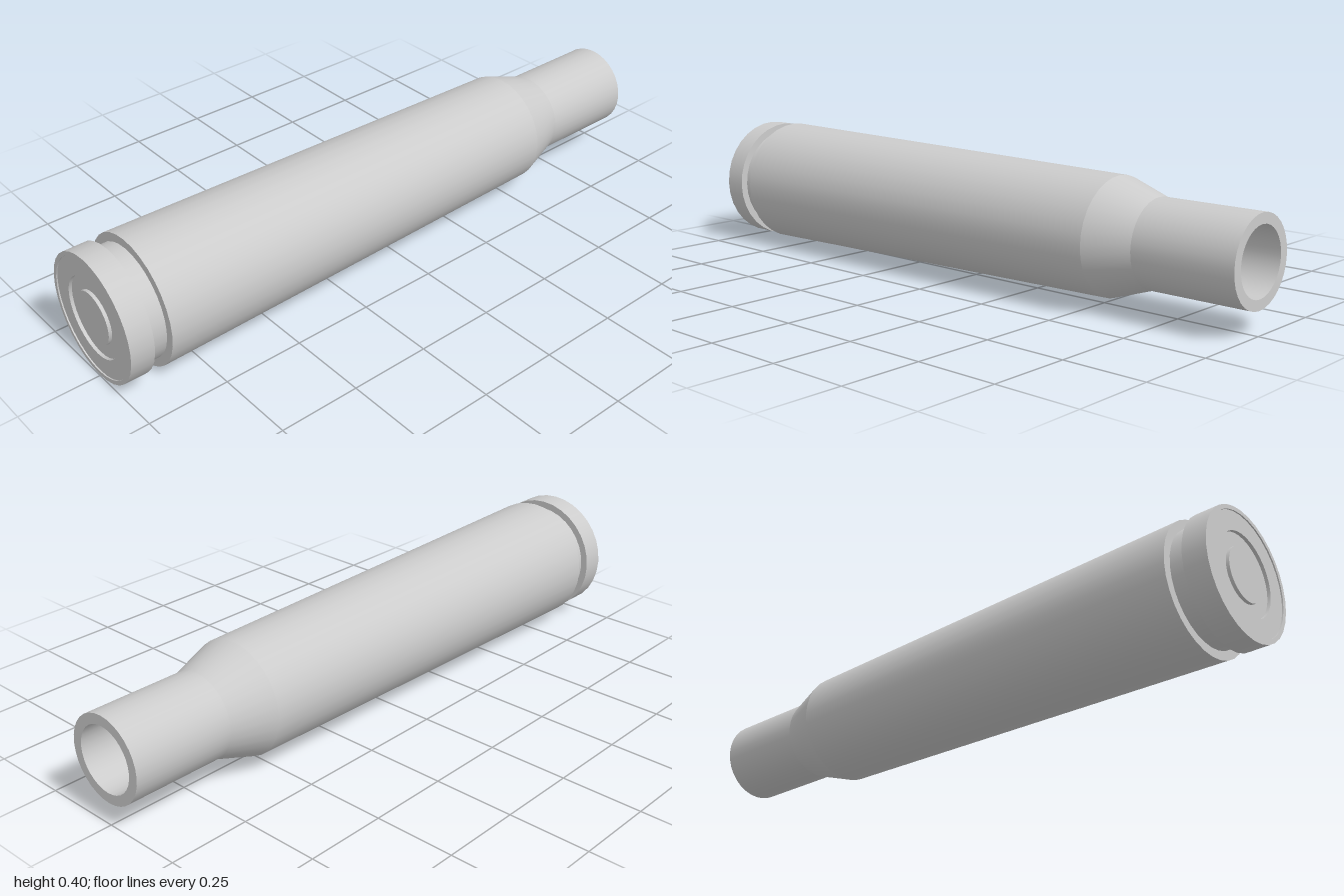
import * as THREE from 'three';

const SIDES = 32;
const AXIS_HEIGHT = 0.2;

// Revolve [radius, z] points about the long axis; smooth along one profile.
function turned(name, profile) {
  const geometry = new THREE.LatheGeometry(
    profile.map(([r, z]) => new THREE.Vector2(r, z)), SIDES);
  geometry.rotateX(Math.PI / 2);
  const mesh = new THREE.Mesh(geometry, new THREE.MeshStandardMaterial({ color: 0xcccccc }));
  mesh.name = name;
  return mesh;
}

// Revolve every straight run separately, so its edges stay sharp.
function turnedSharp(name, profile) {
  const group = new THREE.Group();
  group.name = name;
  for (let i = 1; i < profile.length; i++) {
    group.add(turned(`${name}Face${i}`, [profile[i - 1], profile[i]]));
  }
  return group;
}

export function createModel() {
  const model = new THREE.Group();
  model.name = 'cartridgeCase';

  const parts = new THREE.Group();
  parts.name = 'case';
  parts.position.y = AXIS_HEIGHT;
  model.add(parts);

  // Hollow inside: floor, then wall narrowing towards the mouth
  parts.add(turned('cavityFloor', [[0, 0.8], [0.155, 0.8]]));
  parts.add(turned('cavityWall', [[0.155, 0.8], [0.147, -0.54], [0.1, -0.68], [0.1, -1]]));

  // Open mouth and the outer wall: neck, shoulder and tapered body
  parts.add(turned('mouthLip', [[0.1, -1], [0.131, -1]]));
  parts.add(turned('neck', [[0.131, -1], [0.131, -0.68]]));
  parts.add(turned('shoulder', [[0.131, -0.68], [0.176, -0.545]]));
  parts.add(turned('body', [[0.176, -0.545], [0.2, 0.875]]));

  // Extractor groove and rim
  parts.add(turnedSharp('extractorGroove', [
    [0.2, 0.875], [0.173, 0.875], [0.173, 0.927], [0.196, 0.927],
  ]));
  parts.add(turnedSharp('rim', [[0.196, 0.927], [0.196, 1], [0.183, 1]]));

  // Base with its shallow steps around the primer
  parts.add(turnedSharp('base', [
    [0.183, 1], [0.183, 0.996], [0.124, 0.996], [0.124, 0.986], [0.081, 0.986],
  ]));
  parts.add(turnedSharp('primer', [[0.081, 0.986], [0.081, 0.996], [0, 0.996]]));

  return model;
}
